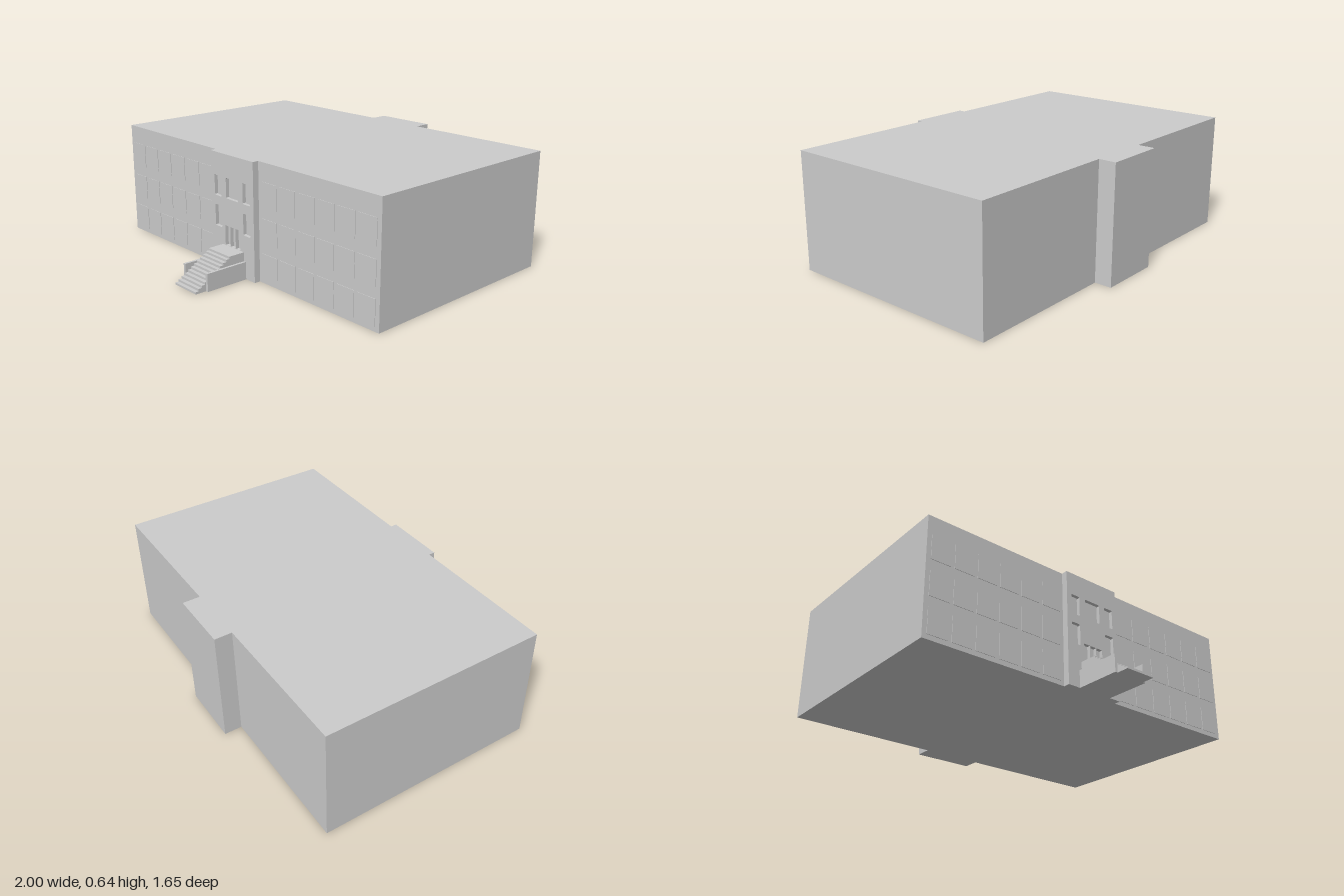
import * as THREE from 'three';

const material = new THREE.MeshStandardMaterial({ color: 0xcccccc, flatShading: true });

const HEIGHT = 0.64;
const WALL_Z = 0.48;    // front wall of the wings
const PANE_Z = 0.495;   // back of the recesses in the entrance bay
const BAY_Z = 0.515;    // front of the entrance bay

function addMesh(parent, name, geometry) {
  const mesh = new THREE.Mesh(geometry, material);
  mesh.name = name;
  parent.add(mesh);
  return mesh;
}

// Box given by its limits on each axis
function addBox(parent, name, [x0, x1], [y0, y1], [z0, z1]) {
  const mesh = addMesh(parent, name, new THREE.BoxGeometry(x1 - x0, y1 - y0, z1 - z0));
  mesh.position.set((x0 + x1) / 2, (y0 + y1) / 2, (z0 + z1) / 2);
  return mesh;
}

// Rectangle with small chamfered corners
function outline(x0, x1, y0, y1, c = 0) {
  const path = new THREE.Path();
  if (c === 0) {
    path.setFromPoints([[x0, y0], [x0, y1], [x1, y1], [x1, y0]].map(p => new THREE.Vector2(...p)));
  } else {
    path.setFromPoints([
      [x0 + c, y0], [x0, y0 + c], [x0, y1 - c], [x0 + c, y1],
      [x1 - c, y1], [x1, y1 - c], [x1, y0 + c], [x1 - c, y0],
    ].map(p => new THREE.Vector2(...p)));
  }
  path.closePath();
  return path;
}

export function createModel() {
  const model = new THREE.Group();
  model.name = 'building';

  // Main block: wings and central bay share one footprint (shape y = -z)
  const footprint = new THREE.Shape([
    [-1, -WALL_Z], [-0.175, -WALL_Z], [-0.175, -PANE_Z], [0.172, -PANE_Z],
    [0.172, -WALL_Z], [1, -WALL_Z], [1, 0.73], [0.172, 0.73],
    [0.172, 0.825], [-0.175, 0.825], [-0.175, 0.73], [-1, 0.73],
  ].map(p => new THREE.Vector2(...p)));
  const block = new THREE.ExtrudeGeometry(footprint, { depth: HEIGHT, bevelEnabled: false });
  block.rotateX(-Math.PI / 2);
  addMesh(model, 'mainBlock', block);

  // Entrance bay: slab with recessed windows and three door openings
  const bay = new THREE.Shape([
    [-0.175, 0], [0.172, 0], [0.172, HEIGHT], [-0.175, HEIGHT],
  ].map(p => new THREE.Vector2(...p)));
  for (const [x0, x1, y0, y1] of [
    [-0.145, -0.09, 0.405, 0.515], [-0.05, 0.05, 0.405, 0.515], [0.087, 0.143, 0.405, 0.515],
    [-0.145, -0.09, 0.237, 0.355], [0.087, 0.143, 0.237, 0.355],
  ]) bay.holes.push(outline(x0, x1, y0, y1, 0.004));
  for (const x of [-0.065, -0.022, 0.021]) bay.holes.push(outline(x, x + 0.039, 0.146, 0.255));
  const facade = new THREE.ExtrudeGeometry(bay, { depth: BAY_Z - PANE_Z, bevelEnabled: false });
  facade.translate(0, 0, PANE_Z);
  addMesh(model, 'entranceBay', facade);

  // Wing windows: thin panels in three rows on either side
  const windows = new THREE.Group();
  windows.name = 'wingWindows';
  model.add(windows);
  const rows = [[0.025, 0.16], [0.217, 0.348], [0.408, 0.54]];
  const columns = [0.198, 0.331, 0.465, 0.598, 0.73, 0.862];
  for (const row of rows) {
    for (const x of columns) {
      addBox(windows, 'leftWindow', [x, x + 0.113], row, [WALL_Z - 0.005, WALL_Z + 0.003]);
      addBox(windows, 'rightWindow', [-x - 0.113, -x], row, [WALL_Z - 0.005, WALL_Z + 0.003]);
    }
  }

  // Entrance stairs: one stepped profile ending in a landing
  const steps = 12;
  const top = 0.145, startZ = 0.825, landingZ = 0.61;
  const profile = [[BAY_Z, 0], [startZ, 0]];
  for (let i = 0; i < steps; i++) {
    const y = (top * (i + 1)) / steps;
    profile.push([startZ - ((startZ - landingZ) * i) / (steps - 1), y]);
    if (i < steps - 1) profile.push([startZ - ((startZ - landingZ) * (i + 1)) / (steps - 1), y]);
  }
  profile.push([BAY_Z, top]);
  const stairs = new THREE.ExtrudeGeometry(
    new THREE.Shape(profile.map(p => new THREE.Vector2(...p))),
    { depth: 0.174, bevelEnabled: false },
  );
  stairs.rotateY(-Math.PI / 2); // profile x becomes z, depth becomes -x
  stairs.translate(0.087, 0, 0);
  addMesh(model, 'entranceStairs', stairs);

  // Low cheek walls beside the stairs
  addBox(model, 'leftCheekWall', [0.087, 0.102], [0, 0.096], [BAY_Z, 0.76]);
  addBox(model, 'rightCheekWall', [-0.102, -0.087], [0, 0.096], [BAY_Z, 0.76]);

  return model;
}
